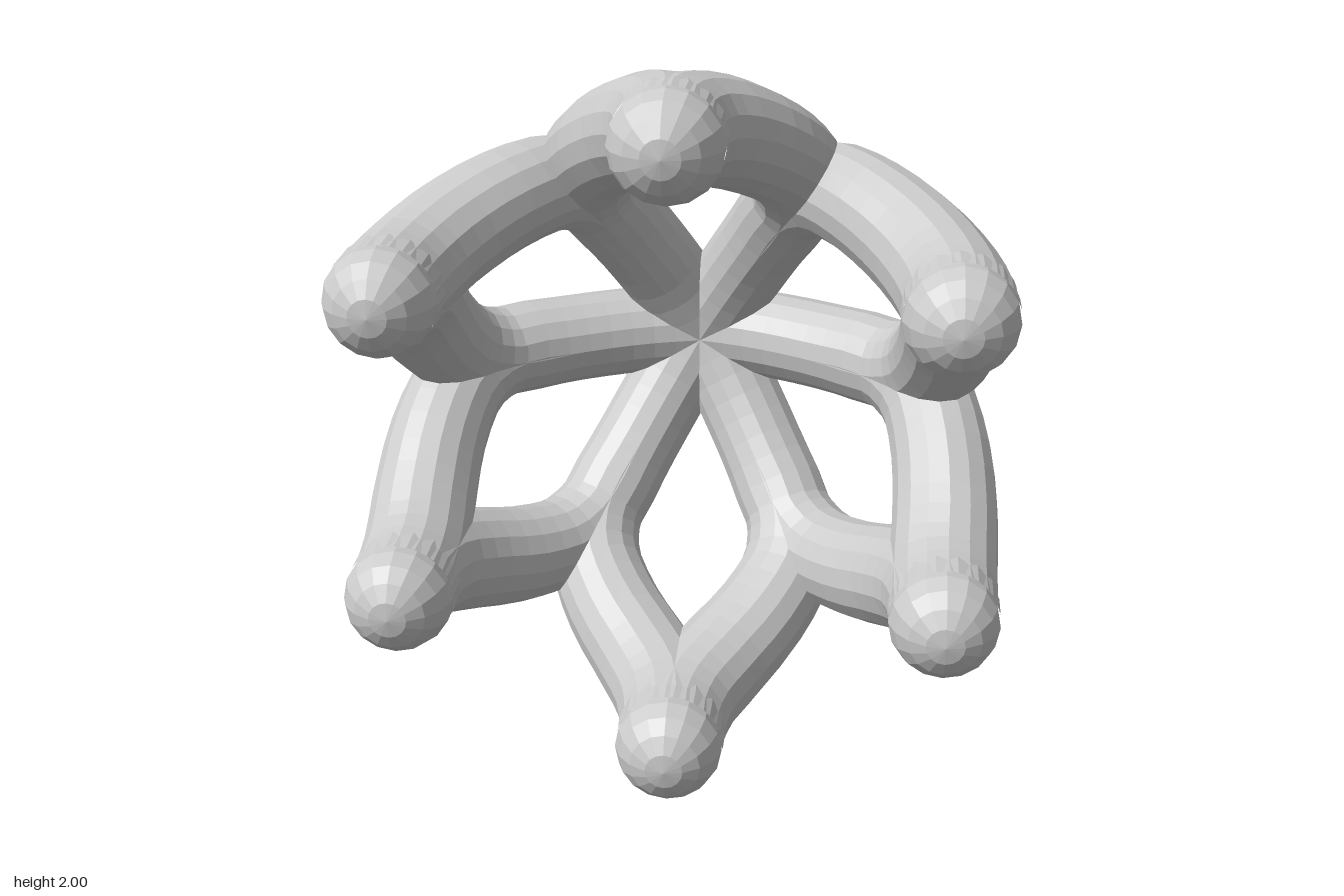
import * as THREE from 'three';

const RINGS = 22, SIDES = 16;
const SPOKE_R = 0.132, TIP_R = 0.15;
const TIP_RADIUS = 0.851, TIP_Z = 0.52;

// Branch centre line: radial distance, sideways offset, depth
const PATH = [
  [-0.04, 0, -0.553], [0.2, 0, -0.483], [0.4, 0, -0.385], [0.58, 0, -0.26],
  [0.68, 0.05, -0.145], [0.73, 0.165, 0], [0.744, 0.3, 0.15],
  [0.739, 0.39, 0.29], [0.737, 0.4255, 0.43], [0.737, 0.4255, TIP_Z],
];

// Tube from the rear hub to one tip, swelling slightly towards the tip
function branchGeometry(side) {
  const curve = new THREE.CatmullRomCurve3(PATH.map(([x, y, z]) => new THREE.Vector3(x, y * side, z)));
  const geometry = new THREE.TubeGeometry(curve, RINGS, 1, SIDES, false);
  const pos = geometry.attributes.position;
  const v = new THREE.Vector3();
  for (let i = 0; i <= RINGS; i++) {
    const u = i / RINGS;
    const centre = curve.getPointAt(u);
    const r = THREE.MathUtils.lerp(SPOKE_R, TIP_R, THREE.MathUtils.smoothstep(u, 0.35, 0.85));
    for (let j = 0; j <= SIDES; j++) {
      const k = i * (SIDES + 1) + j;
      v.fromBufferAttribute(pos, k).sub(centre).multiplyScalar(r).add(centre);
      pos.setXYZ(k, v.x, v.y, v.z);
    }
  }
  geometry.computeVertexNormals();
  return geometry;
}

export function createModel() {
  const model = new THREE.Group();
  model.name = 'branchingCage';
  const material = new THREE.MeshStandardMaterial({ color: 0xcccccc, flatShading: true });

  const leftBranch = branchGeometry(1);
  const rightBranch = branchGeometry(-1);
  // Rounded end with its pole facing forward, reaching just inside the tube
  const cap = new THREE.SphereGeometry(TIP_R, SIDES, 5, 0, Math.PI * 2, 0, Math.PI * 0.56);
  cap.rotateX(Math.PI / 2);

  // Six forked spokes around the hub, with six rounded tips between them
  for (let k = 0; k < 6; k++) {
    const angle = k * Math.PI / 3;
    const spoke = new THREE.Group();
    spoke.name = 'forkedSpoke' + (k + 1);
    for (const [geometry, name] of [[leftBranch, 'branchA'], [rightBranch, 'branchB']]) {
      const branch = new THREE.Mesh(geometry, material);
      branch.name = name;
      spoke.add(branch);
    }
    spoke.rotation.z = angle;
    spoke.position.y = 1;
    model.add(spoke);

    const tip = new THREE.Mesh(cap, material);
    tip.name = 'roundedTip' + (k + 1);
    const a = angle + Math.PI / 6;
    tip.position.set(Math.cos(a) * TIP_RADIUS, 1 + Math.sin(a) * TIP_RADIUS, TIP_Z);
    model.add(tip);
  }
  return model;
}
